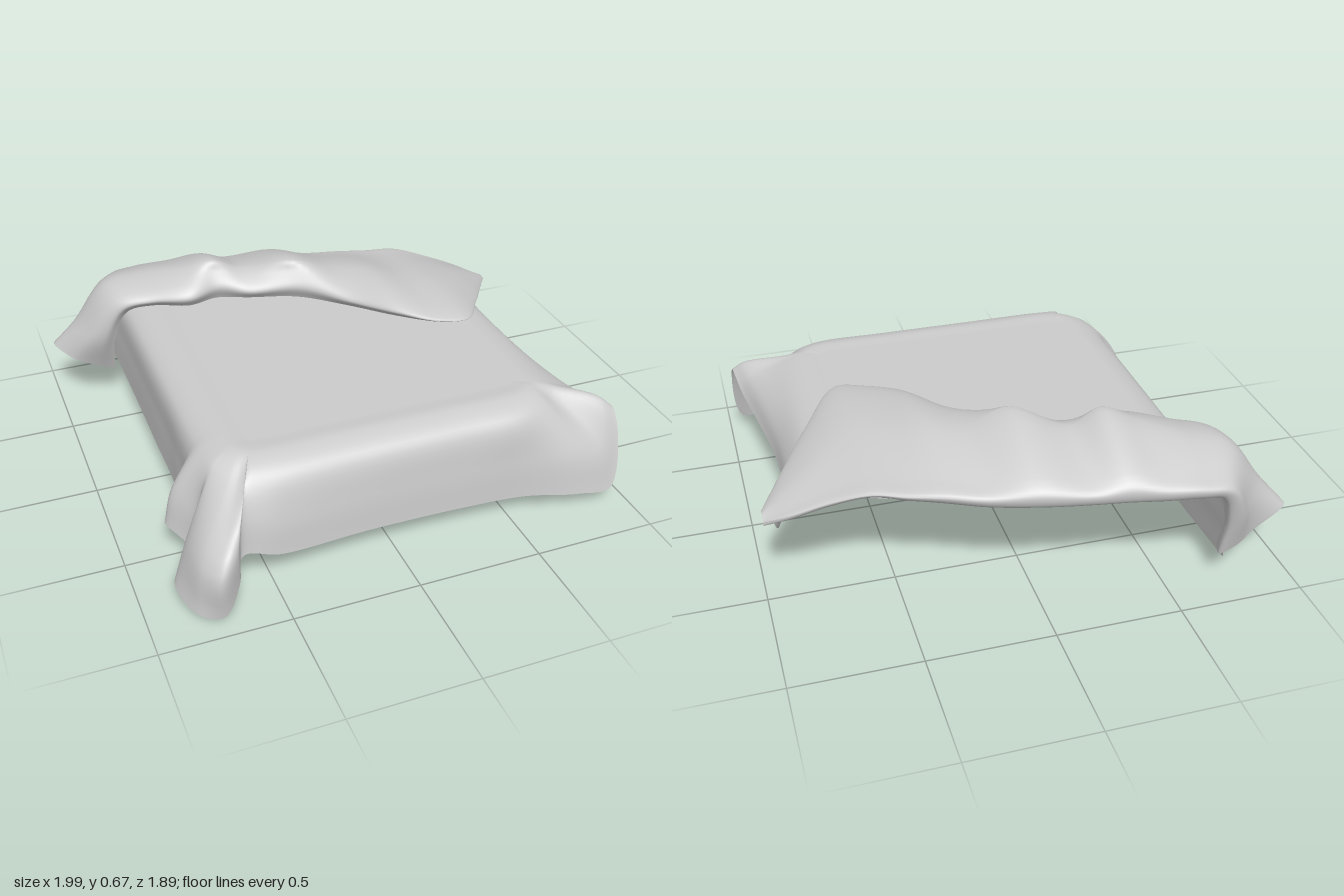
import * as THREE from 'three';

const { clamp, lerp } = THREE.MathUtils;
const TOP = 0.485;
const material = new THREE.MeshStandardMaterial({ color: 0xcccccc, side: THREE.DoubleSide });
const spline = (points) => new THREE.CatmullRomCurve3(points);

// Smooth cloth surface through a few cross-sections, each a short list of points
function drape(name, sections, nu, nv) {
  const rails = sections[0].map((_, j) => spline(sections.map((s) => s[j])));
  const pos = [], index = [];
  for (let i = 0; i <= nu; i++) {
    const section = spline(rails.map((rail) => rail.getPoint(i / nu)));
    for (let j = 0; j <= nv; j++) {
      pos.push(...section.getPoint(j / nv).toArray());
      if (i < nu && j < nv) {
        const a = i * (nv + 1) + j, b = a + nv + 1;
        index.push(a, a + 1, b, b, a + 1, b + 1);
      }
    }
  }
  const geo = new THREE.BufferGeometry();
  geo.setAttribute('position', new THREE.Float32BufferAttribute(pos, 3));
  geo.setIndex(index);
  geo.computeVertexNormals();
  const mesh = new THREE.Mesh(geo, material);
  mesh.name = name;
  return mesh;
}

// Skirt section: from the flat top over a rounded shoulder down to a hem point.
// spread is how far the middle swings out towards the hem.
function skirt(x, y, z, spread = 0.75) {
  const hem = new THREE.Vector3(x, y, z);
  const core = new THREE.Vector3(clamp(x, -0.48, 0.56), TOP, clamp(z, -0.92, 0.51));
  const out = new THREE.Vector3(x - core.x, 0, z - core.z).normalize();
  const at = (radius, height) => core.clone().addScaledVector(out, radius).setY(height);
  const shoulder = at(0.21, 0.425 + 0.1 * y);
  const middle = shoulder.clone().lerp(hem, spread).setY((shoulder.y + y) / 2);
  return [at(0.03, TOP), at(0.12, TOP), shoulder, middle, hem];
}

// Turned-back section: doubles back at the crease, rises to a crest, ends at the front lip.
// lean tips its height direction over to the side, so the end can hang down.
function fold(x, y, lean, creaseZ, height, crestZ, frontZ) {
  const lip = Math.min(0.04, height / 3);
  const at = (h, z) => new THREE.Vector3(x - Math.sin(lean) * h, y + Math.cos(lean) * h, z);
  const depth = (t) => lerp(creaseZ, frontZ, t);
  return [
    at(0, depth(0.3)), at(-0.015, depth(0.04)), at(height * 0.2, creaseZ),
    at(height * 0.45, depth(0.12)), at(height, crestZ),
    at(lerp(height, lip, 0.25), depth(0.9)), at(lerp(height, lip, 0.65), frontZ),
    at(lip, depth(0.95)),
  ];
}

// Hem points x, y, z (and spread) around the three open sides
const rightHem = [
  [-0.72, 0.12, -0.87], [-0.715, 0.11, -0.5], [-0.715, 0.1, -0.1], [-0.715, 0.09, 0.2],
];
const lobedCorner = [
  [-0.74, 0.07, 0.4], [-0.83, 0.15, 0.48], [-0.75, 0.07, 0.61], [-0.86, 0.06, 0.71, 0.6],
  [-0.82, 0.02, 0.87, 0.85], [-0.73, 0.01, 0.91, 1.06], [-0.66, 0.12, 0.88, 1],
  [-0.63, 0.2, 0.83],
];
const frontHem = [
  [-0.47, 0.14, 0.8], [-0.1, 0.125, 0.77], [0.3, 0.115, 0.765], [0.56, 0.1, 0.77],
];
const pointedCorner = [
  [0.78, 0.08, 0.81], [0.94, 0.07, 0.8], [0.97, 0.38, 0.69], [0.945, 0.315, 0.58],
];
const leftHem = [
  [0.91, 0.285, 0.4], [0.865, 0.265, 0.05], [0.88, 0.27, -0.25], [0.93, 0.31, -0.47],
  [0.95, 0.39, -0.53],
];

// Flap sections: x, y, lean, crease z, height, crest z, front z
const hangingEnd = [
  [-0.72, 0.14, 1.13, -0.87, 0.31, -0.8, -0.66],
  [-0.72, 0.32, 1.2, -0.92, 0.19, -0.77, -0.59],
  [-0.67, 0.46, 0.75, -0.95, 0.14, -0.74, -0.55],
];
const crumpledMiddle = [
  [-0.58, 0.48, 0.2, -0.95, 0.125, -0.71, -0.51],
  [-0.44, 0.48, 0, -0.93, 0.16, -0.62, -0.45],
  [-0.31, 0.48, 0, -0.9, 0.2, -0.55, -0.48],
  [-0.18, 0.48, 0, -0.88, 0.145, -0.56, -0.43],
  [0.02, 0.48, 0, -0.84, 0.195, -0.44, -0.36],
  [0.2, 0.48, 0, -0.79, 0.135, -0.45, -0.2],
  [0.35, 0.49, 0, -0.74, 0.125, -0.36, -0.02],
  [0.48, 0.5, 0, -0.7, 0.085, -0.3, 0.08],
  [0.6, 0.51, 0, -0.66, 0.065, -0.25, 0.11],
];
const pointedEnd = [
  [0.75, 0.47, 0, -0.61, 0.055, -0.36, -0.09],
  [0.89, 0.42, 0, -0.57, 0.035, -0.44, -0.31],
  [0.985, 0.38, 0, -0.52, 0.02, -0.49, -0.46],
];

export function createModel() {
  const group = new THREE.Group();
  group.name = 'beddingCover';

  const skirtSections = [...rightHem, ...lobedCorner, ...frontHem, ...pointedCorner, ...leftHem]
    .map((hem) => skirt(...hem));
  const flapSections = [...hangingEnd, ...crumpledMiddle, ...pointedEnd]
    .map((section) => fold(...section));

  // flat panel inside the skirt, closed along the crease of the fold
  const rim = spline(skirtSections.map((s) => s[0])).getPoints(192);
  const crease = [[0.6, -0.62], [0.3, -0.73], [0, -0.82], [-0.3, -0.88], [-0.5, -0.92]];
  const outline = [
    ...rim.map((p) => new THREE.Vector2(p.x, -p.z)),
    ...crease.map(([x, z]) => new THREE.Vector2(x, -z)),
  ];
  const panelGeo = new THREE.ShapeGeometry(new THREE.Shape(outline));
  panelGeo.rotateX(-Math.PI / 2).translate(0, TOP, 0);
  const panel = new THREE.Mesh(panelGeo, material);
  panel.name = 'topPanel';

  group.add(panel);
  group.add(drape('hangingSkirt', skirtSections, 192, 24));
  group.add(drape('foldedFlap', flapSections, 112, 42));
  return group;
}
